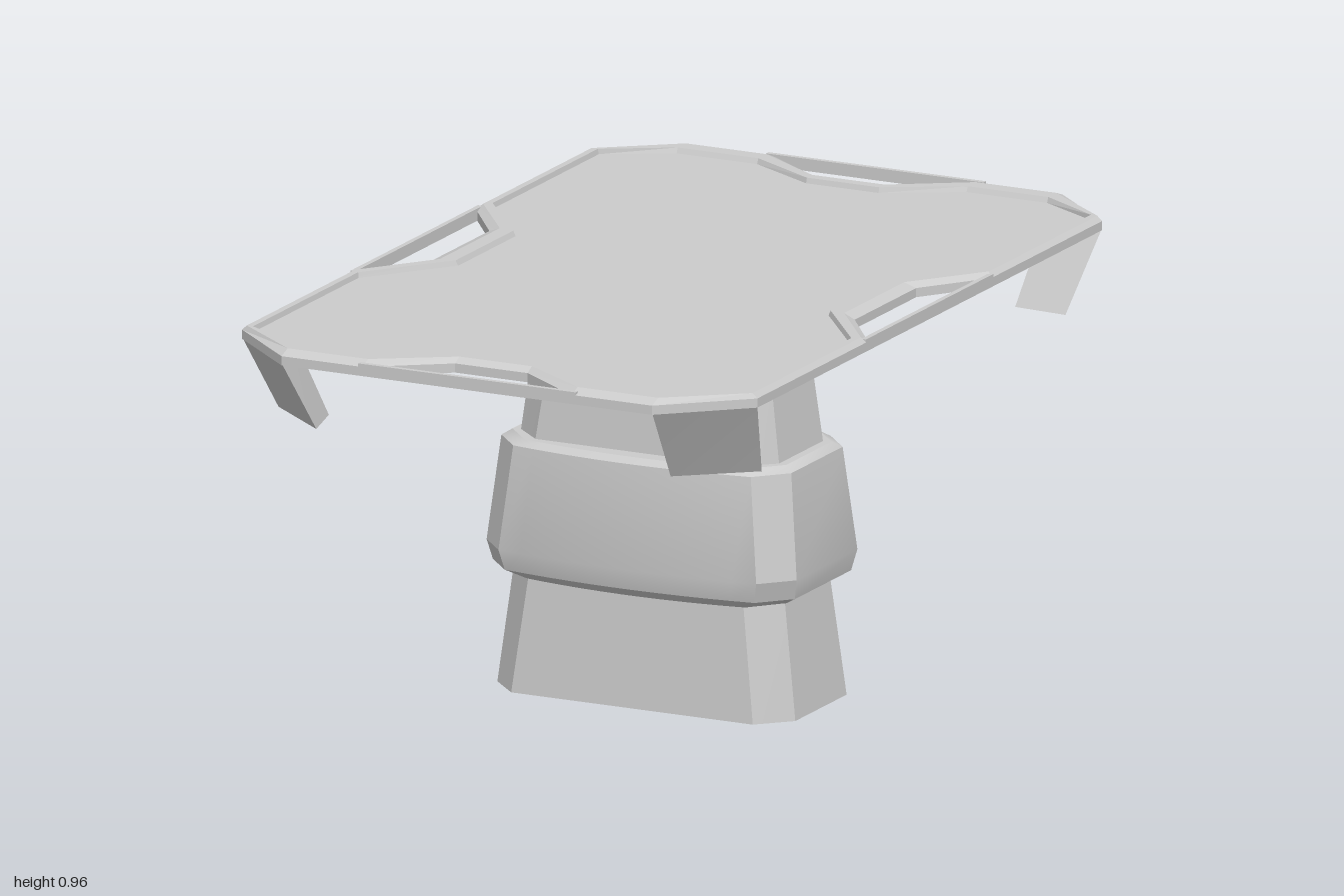
import * as THREE from 'three';
import { toCreasedNormals } from 'three/addons/utils/BufferGeometryUtils.js';

const material = new THREE.MeshStandardMaterial({ color: 0xcccccc });

// Skins a stack of rings [[x, y, z], ...] (ordered from +x towards +z) and caps both ends.
function loft(rings, crease = 0.4) {
  const n = rings[0].length;
  const index = [];
  for (let r = 0; r < rings.length - 1; r++) {
    for (let i = 0; i < n; i++) {
      const j = (i + 1) % n;
      const a = r * n + i, b = r * n + j, c = a + n, d = b + n;
      index.push(a, c, b, b, c, d);
    }
  }
  const cap = (ring, offset, flip) => {
    const contour = ring.map(([x, , z]) => new THREE.Vector2(x, z));
    for (const [a, b, c] of THREE.ShapeUtils.triangulateShape(contour, [])) {
      index.push(offset + a, offset + (flip ? c : b), offset + (flip ? b : c));
    }
  };
  cap(rings[0], 0, false);
  cap(rings[rings.length - 1], (rings.length - 1) * n, true);
  const geometry = new THREE.BufferGeometry();
  geometry.setAttribute('position', new THREE.Float32BufferAttribute(rings.flat(2), 3));
  geometry.setIndex(index);
  return toCreasedNormals(geometry, crease);
}

// Mirrors one quarter of an outline [[x, z], ...] into all four quadrants.
function mirrorQuarter(q) {
  const back = [...q].reverse();
  return [
    ...q,
    ...back.map(([x, z]) => [-x, z]),
    ...q.map(([x, z]) => [-x, -z]),
    ...back.map(([x, z]) => [x, -z]),
  ];
}

const atHeight = (outline, y) => outline.map(([x, z]) => [x, y, z]);

// Octagonal ring: half sizes x, z and half lengths of the flats.
const octagon = (y, x, z, flatX, flatZ) =>
  atHeight(mirrorQuarter([[x, flatZ], [flatX, z]]), y);

// Octagon whose long faces bow outwards.
function bowedRing(y, x, z) {
  const flatX = x - 0.065, bow = 0.025, quarter = [[x, z - 0.095]];
  for (let i = 0; i < 6; i++) {
    const t = 1 - (i + 0.0) / 5.5;
    quarter.push([flatX * t, z - bow * t * t]);
  }
  return atHeight(mirrorQuarter(quarter), y);
}

export function createModel() {
  const model = new THREE.Group();
  const add = (name, geometry, parent = model) => {
    const mesh = new THREE.Mesh(geometry, material);
    mesh.name = name;
    parent.add(mesh);
    return mesh;
  };

  // Pedestal: tapered column in two lengths, with a collar between
  add('lowerColumn', loft([
    octagon(0, 0.37, 0.195, 0.30, 0.125),
    octagon(0.28, 0.335, 0.175, 0.265, 0.11),
  ]));
  add('upperColumn', loft([
    octagon(0.56, 0.323, 0.168, 0.257, 0.108),
    octagon(0.93, 0.275, 0.142, 0.205, 0.09),
  ]));
  add('collar', loft([
    bowedRing(0.26, 0.335, 0.20),
    bowedRing(0.283, 0.375, 0.232),
    bowedRing(0.33, 0.385, 0.243),
    bowedRing(0.567, 0.36, 0.22),
    bowedRing(0.58, 0.34, 0.205),
  ]));

  // Notched table top with a bevelled rim around a recessed panel
  const outer = mirrorQuarter([[0.53, 0.15], [0.64, 0.30], [0.64, 0.84], [0.46, 1], [0.26, 1], [0.09, 0.88]]);
  const inner = mirrorQuarter([[0.46, 0.14], [0.61, 0.33], [0.61, 0.84], [0.46, 0.925], [0.26, 0.925], [0.09, 0.83]]);
  const inset = (t) => outer.map(([x, z], i) => [
    x + (inner[i][0] - x) * t, z + (inner[i][1] - z) * t,
  ]);
  add('tableTop', loft([
    atHeight(outer, 0.925),
    atHeight(outer, 0.946),
    atHeight(inset(0.4), 0.957),
    atHeight(inset(0.92), 0.957),
    atHeight(inner, 0.945),
  ], 0.1));

  // Thin rails bridging the notches
  for (const s of [-1, 1]) {
    add('sideRail', new THREE.BoxGeometry(0.012, 0.028, 0.62)).position.set(s * 0.634, 0.939, 0);
    add('endRail', new THREE.BoxGeometry(0.54, 0.028, 0.012)).position.set(0, 0.939, s * 0.994);
  }

  // Slanted wedge under each chamfered corner
  const bottom = [[0.60, 0.74], [0.44, 0.87], [0.47, 0.75]];
  const top = [[0.64, 0.84], [0.46, 1], [0.49, 0.86]];
  for (const sx of [-1, 1]) {
    for (const sz of [-1, 1]) {
      const place = (outline, y) => {
        const ring = outline.map(([x, z]) => [x * sx, y, z * sz]);
        return sx * sz < 0 ? ring.reverse() : ring;
      };
      add('cornerBracket', loft([place(bottom, 0.75), place(top, 0.93)]));
    }
  }
  return model;
}
